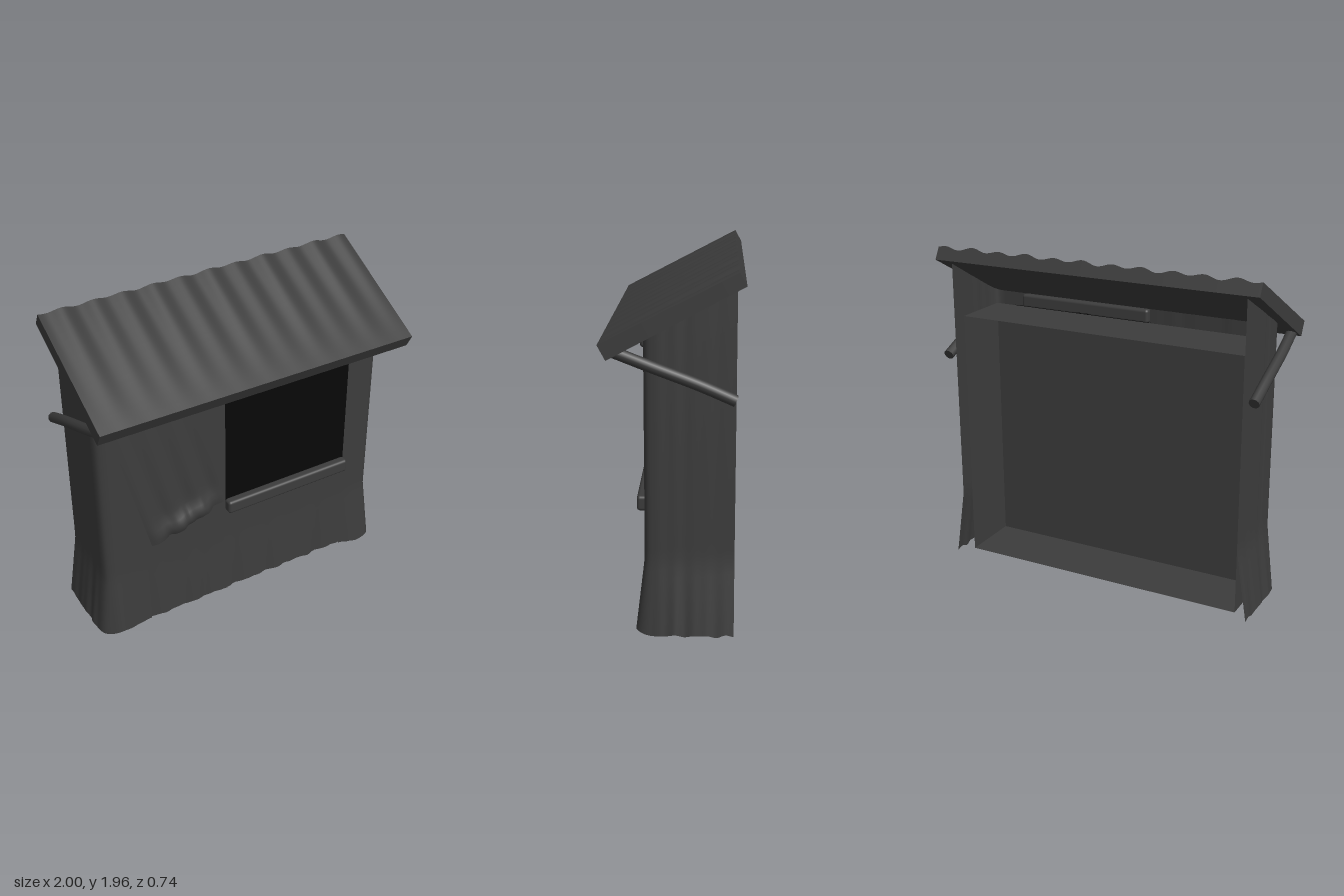
import * as THREE from 'three';
import { RoundedBoxGeometry } from 'three/addons/geometries/RoundedBoxGeometry.js';

const cloth = new THREE.MeshStandardMaterial({ color: 0x3c3c3c, side: THREE.DoubleSide });
const dark = new THREE.MeshStandardMaterial({ color: 0x080808, side: THREE.DoubleSide });

const lerp = THREE.MathUtils.lerp;
const flare = (y) => Math.max(0, (0.42 - y) / 0.42);
const roofUnder = (z) => 1.515 - (z - 0.325) * 0.561;
const ripple = (s) => Math.sin(s * 31) * 0.6 + Math.sin(s * 53 + 1.3) * 0.4;

export function createModel() {
  const group = new THREE.Group();

  const add = (name, geometry, material = cloth) => {
    const mesh = new THREE.Mesh(geometry, material);
    mesh.name = name;
    group.add(mesh);
    return mesh;
  };

  // Sheet of fabric: rule(u, v) gives the point, u across and v from hem to top
  const sheet = (name, nu, nv, rule, material) => {
    const geo = new THREE.PlaneGeometry(1, 1, nu, nv);
    const pos = geo.attributes.position;
    for (let i = 0; i < pos.count; i++) {
      pos.setXYZ(i, ...rule(pos.getX(i) + 0.5, pos.getY(i) + 0.5));
    }
    geo.computeVertexNormals();
    return add(name, geo, material);
  };

  // Flat front panels below and beside the window, overlapping at the seams
  const frontPanel = (name, x0, x1, top, z) =>
    sheet(name, 40, 20, (u, v) => {
      const x = lerp(x0, x1, u);
      const y = lerp(0.02 + 0.004 * ripple(x * 1.6), top, v);
      return [x, y, z + (0.016 + ripple(x) * 0.006) * flare(y) + ripple(x) * 0.002];
    });
  frontPanel('doorCloth', -0.67, -0.13, 1.62, 0.147);
  frontPanel('counterCloth', -0.15, 0.74, 0.65, 0.143);

  // Wrapped walls: from the front, round the corner and back, cut along the roof slope
  for (const side of [-1, 1]) {
    const plan = new THREE.CatmullRomCurve3([
      [side > 0 ? 0.72 : 0.66, 0.148], [0.8, 0.148], [0.88, 0.146], [0.915, 0.128],
      [0.928, 0.09], [0.926, 0], [0.92, -0.16], [0.91, -0.328],
    ].map(([x, z]) => new THREE.Vector3(x, 0, z)), false, 'centripetal');
    const frontFlare = side > 0 ? 0.05 : 0.03;
    sheet(side > 0 ? 'leftWall' : 'rightWall', 72, 28, (u, v) => {
      const p = plan.getPointAt(u);
      const t = plan.getTangentAt(u);
      const y = lerp(0.014 + 0.009 * ripple(u * 0.9), roofUnder(p.z), v);
      const f = flare(y);
      const pleat = ripple(u * 0.9) * Math.sin(Math.PI * u) * (0.002 + 0.008 * f);
      const sideFlare = lerp(0.065, 0.048, (p.z + 0.328) / 0.476);
      const frontWeight = lerp(0.016, frontFlare, THREE.MathUtils.smoothstep(p.x, 0.68, 0.85));
      return [
        side * (p.x - t.z * (sideFlare * f + pleat)),
        y,
        p.z + t.x * pleat + Math.max(0, t.x) * frontWeight * f,
      ];
    });
  }

  // Inner box, open at the back
  const box = new THREE.BoxGeometry(1.77, 1.52, 0.36);
  box.setIndex(Array.from(box.index.array).slice(0, 30));
  add('innerBox', box).position.set(0, 0.78, -0.09);

  // Dark curtain behind the window, with two folds near the middle
  sheet('windowCurtain', 60, 1, (u, v) => {
    const x = lerp(-0.16, 0.76, u);
    const fold = Math.exp(-(((x - 0.27) / 0.015) ** 2)) + Math.exp(-(((x - 0.32) / 0.015) ** 2));
    return [x, lerp(0.6, 1.54, v), 0.1 + 0.015 * fold];
  }, dark);

  // Rails below and above the window
  for (const [name, y, z] of [['windowSill', 0.665, 0.17], ['windowTopRail', 1.565, 0.145]]) {
    const rail = new RoundedBoxGeometry(0.855, 0.085, 0.06, 3, 0.018);
    add(name, rail).position.set(0.295, y, z);
  }

  // Door curtain pulled aside, bulging at its lower hem
  sheet('doorFlap', 48, 32, (u, v) => {
    const d = 1 - v;
    const x = lerp(lerp(-0.9, -0.385, u), lerp(-0.64, -0.15, u), d);
    const y = lerp(1.6, lerp(0.58, 0.73, u) + 0.007 * ripple(u), d);
    const bulge = Math.exp(-(((d - 0.95) / 0.06) ** 2));
    const pleat = Math.sin(u * 20) * 0.009 * d;
    return [x, y, 0.158 + 0.018 * d + pleat + 0.042 * bulge * Math.sin(Math.PI * u)];
  });

  // Sloping roof, its top rippled towards the back
  const roof = new THREE.BoxGeometry(1.985, 0.09, 0.794, 132, 1, 16);
  const rp = roof.attributes.position;
  for (let i = 0; i < rp.count; i++) {
    const x = rp.getX(i);
    const back = 0.5 - rp.getZ(i) / 0.794;
    if (rp.getY(i) > 0) {
      const wave = Math.sin(x * 35) * 0.75 + Math.sin(x * 19) * 0.25;
      rp.setY(i, rp.getY(i) - 0.011 * back + wave * 0.013 * back);
    }
  }
  roof.computeVertexNormals();
  const roofMesh = add('roof', roof);
  roofMesh.position.set(0, 1.738, -0.001);
  roofMesh.rotation.x = 0.492;

  // Bowed roof struts
  for (const side of [-1, 1]) {
    const path = new THREE.CatmullRomCurve3([
      [0.95, 1.55, 0.3], [0.963, 1.475, 0.1], [0.968, 1.385, -0.14], [0.968, 1.305, -0.325],
    ].map(([x, y, z]) => new THREE.Vector3(side * x, y, z)));
    const name = side > 0 ? 'leftStrut' : 'rightStrut';
    add(name, new THREE.TubeGeometry(path, 16, 0.031, 10));

    // Flat strut ends
    for (const t of [0, 1]) {
      const cap = add(name + 'Cap', new THREE.CircleGeometry(0.031, 10));
      cap.position.copy(path.getPoint(t));
      cap.lookAt(cap.position.clone().addScaledVector(path.getTangent(t), t ? 1 : -1));
    }
  }

  return group;
}
